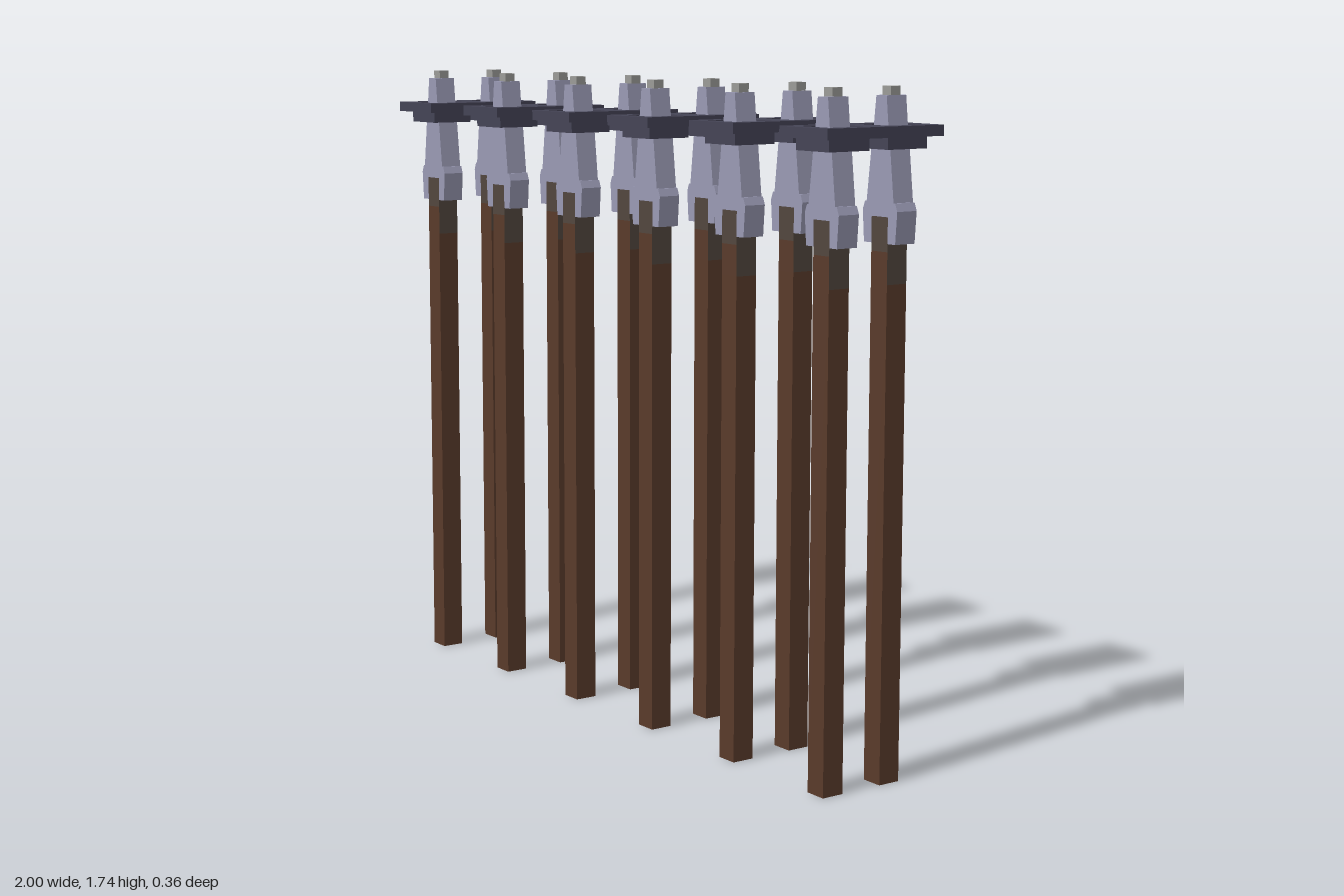
import * as THREE from 'three';

const mat = (name, color) => {
  const m = new THREE.MeshStandardMaterial({ color });
  m.name = name;
  return m;
};

// Polygon in x/y extruded along z and centred on z = 0
function slab(points, depth, holes = []) {
  const shape = new THREE.Shape(points.map(([x, y]) => new THREE.Vector2(x, y)));
  for (const h of holes) shape.holes.push(new THREE.Path(h.map(([x, y]) => new THREE.Vector2(x, y))));
  const geo = new THREE.ExtrudeGeometry(shape, { depth, bevelEnabled: false });
  return geo.translate(0, 0, -depth / 2);
}

const block = (w, d, y0, y1) => new THREE.BoxGeometry(w, y1 - y0, d).translate(0, (y0 + y1) / 2, 0);
const rect = (w, h, cy = 0) => [[-w, cy - h], [w, cy - h], [w, cy + h], [-w, cy + h]];

export function createModel() {
  const wood = mat('wood', 0x5a3b2b);
  const darkWood = mat('stained wood', 0x52473e);
  const steel = mat('blue grey metal', 0x9a9ab4);
  const slate = mat('dark slate', 0x454456);
  const grey = mat('light grey', 0x9c9c98);

  const W = 0.06, D = 0.062, Z = 0.091;

  // Tapered head, forked at the bottom around the post
  const half = [[0.03, 1.425], [0.03, 1.36], [0.058, 1.36], [0.064, 1.44], [0.056, 1.46],
    [0.05, 1.46], [0.035, 1.59], [0.027, 1.645], [0.019, 1.718]];
  const mirrored = half.map(([x, y]) => [-x, y]).reverse();
  const headGeo = slab([...half, ...mirrored], D);

  // Shared top plate with a recess for each head
  const plateGeo = slab(rect(0.091, 0.181), 0.027, [rect(0.058, 0.058, Z), rect(0.058, 0.058, -Z)]);
  plateGeo.rotateX(-Math.PI / 2).translate(0, 1.634, 0);

  const parts = [
    ['post', block(W, D, 0, 1.26), wood],
    ['postNeck', block(W, D, 1.26, 1.34), [darkWood, darkWood, wood, wood, wood, wood]],
    ['postTop', block(W, D, 1.34, 1.425), darkWood],
    ['head', headGeo, steel],
    ['lowerPlate', block(0.124, 0.124, 1.59, 1.6205), slate],
    ['tip', block(0.032, 0.03, 1.718, 1.74), grey],
  ];

  const model = new THREE.Group();
  model.name = 'postRow';
  for (let i = 0; i < 6; i++) {
    const pair = new THREE.Group();
    pair.name = `postPair${i + 1}`;
    pair.position.x = (i - 2.5) * 0.3636;
    const plate = new THREE.Mesh(plateGeo, slate);
    plate.name = 'topPlate';
    pair.add(plate);
    for (const side of [-1, 1]) {
      const pole = new THREE.Group();
      pole.name = side > 0 ? 'frontPole' : 'backPole';
      pole.position.z = side * Z;
      for (const [name, geo, material] of parts) {
        const mesh = new THREE.Mesh(geo, material);
        mesh.name = name;
        pole.add(mesh);
      }
      pair.add(pole);
    }
    model.add(pair);
  }
  return model;
}
